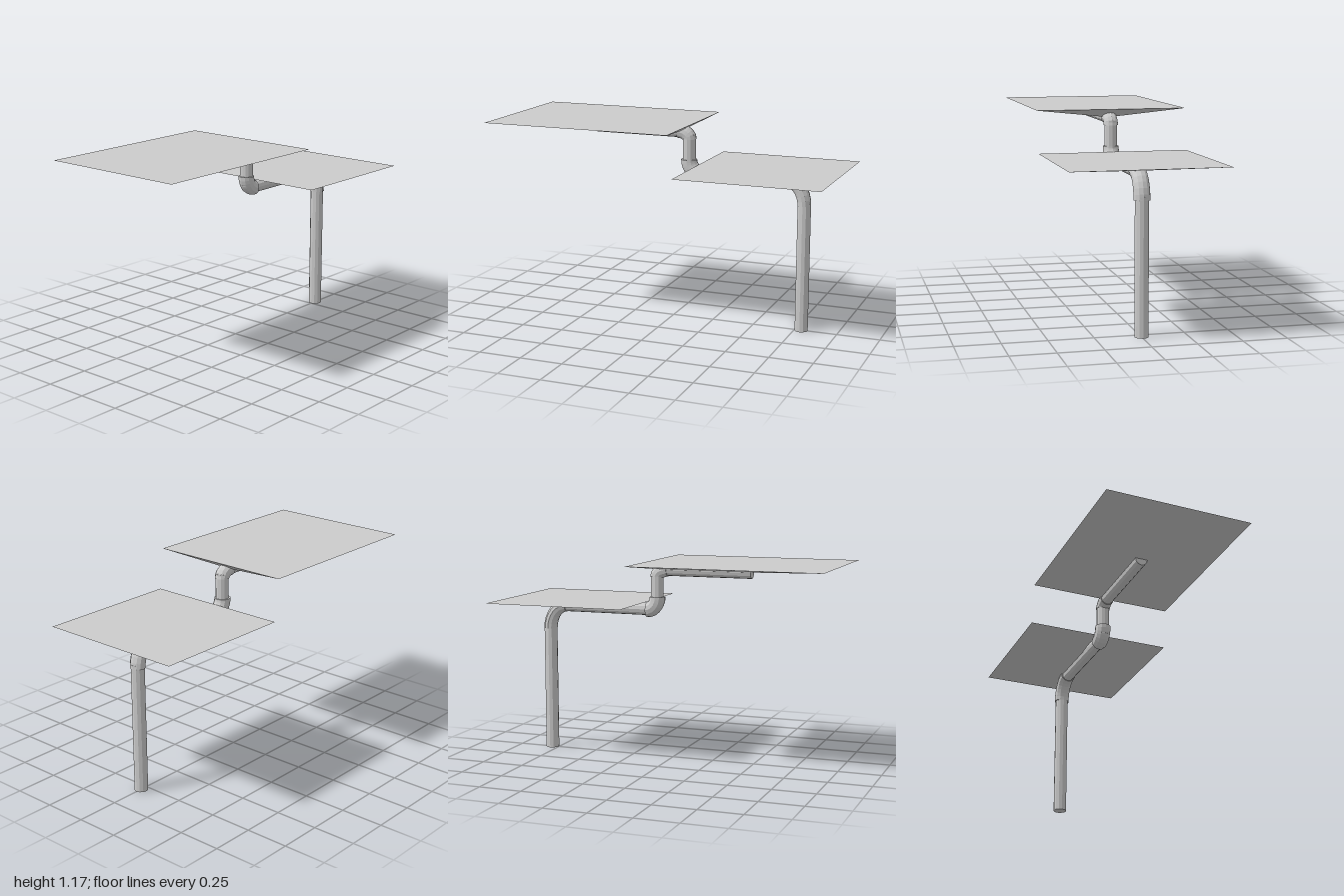
import * as THREE from 'three';

const SIDES = 12;

export function createModel() {
  const model = new THREE.Group();
  const material = new THREE.MeshStandardMaterial({ color: 0xcccccc, flatShading: true });

  const add = (name, geometry) => {
    const mesh = new THREE.Mesh(geometry, material);
    mesh.name = name;
    model.add(mesh);
    return mesh;
  };

  // Straight capped pipe between two points in the z = 0 plane
  const pipe = (name, [x0, y0], [x1, y1], radius) => {
    const length = Math.hypot(x1 - x0, y1 - y0);
    const mesh = add(name, new THREE.CylinderGeometry(radius, radius, length, SIDES));
    mesh.position.set((x0 + x1) / 2, (y0 + y1) / 2, 0);
    mesh.rotation.z = Math.atan2(y1 - y0, x1 - x0) - Math.PI / 2;
  };

  // Quarter bend from a to b, turning at the corner, with capped ends
  const bend = (name, a, corner, b, radius, depth = 1) => {
    const point = ([x, y]) => new THREE.Vector3(x, y, 0);
    const A = point(a), C = point(corner), B = point(b);
    const curve = new THREE.CubicBezierCurve3(A, A.clone().lerp(C, 0.55), B.clone().lerp(C, 0.55), B);
    const mesh = add(name, new THREE.TubeGeometry(curve, 7, radius, SIDES));
    for (const [t, sign] of [[0, -1], [1, 1]]) {
      const cap = new THREE.Mesh(new THREE.CircleGeometry(radius, SIDES), material);
      cap.name = name + 'Cap';
      cap.position.copy(curve.getPoint(t));
      cap.quaternion.setFromUnitVectors(new THREE.Vector3(0, 0, 1), curve.getTangent(t).multiplyScalar(sign));
      mesh.add(cap);
    }
    mesh.scale.z = depth;
  };

  // Flat rectangular panel whose underside tapers to a narrow strip on the pipe
  const panel = (name, [x0, x1], top, [u0, u1], bottom) => {
    const geometry = new THREE.BoxGeometry(1, 1, 1);
    const p = geometry.attributes.position;
    for (let i = 0; i < p.count; i++) {
      const right = p.getX(i) > 0, side = Math.sign(p.getZ(i));
      if (p.getY(i) > 0) p.setXYZ(i, right ? x1 : x0, top, side * 0.435);
      else p.setXYZ(i, right ? u1 : u0, bottom, side * 0.04);
    }
    geometry.computeVertexNormals();
    add(name, geometry);
  };

  // Post, its top bend and the lower arm
  pipe('post', [0.79, 0], [0.79, 0.76], 0.039);
  bend('postBend', [0.79, 0.74], [0.79, 0.881], [0.68, 0.881], 0.039, 1.18);
  pipe('lowerArm', [0.13, 0.881], [0.70, 0.881], 0.037);

  // Step up to the upper arm
  bend('lowerElbow', [0.16, 0.878], [0.096, 0.878], [0.096, 0.955], 0.047);
  pipe('riser', [0.098, 0.90], [0.098, 1.10], 0.038);
  bend('upperElbow', [0.098, 1.075], [0.098, 1.117], [0.03, 1.117], 0.042);
  pipe('upperArm', [-0.48, 1.117], [0.06, 1.117], 0.037);

  // Panels
  panel('upperPanel', [-1, 0.128], 1.167, [-0.48, 0.05], 1.12);
  panel('lowerPanel', [0.155, 1], 0.926, [0.33, 0.7], 0.884);

  return model;
}
